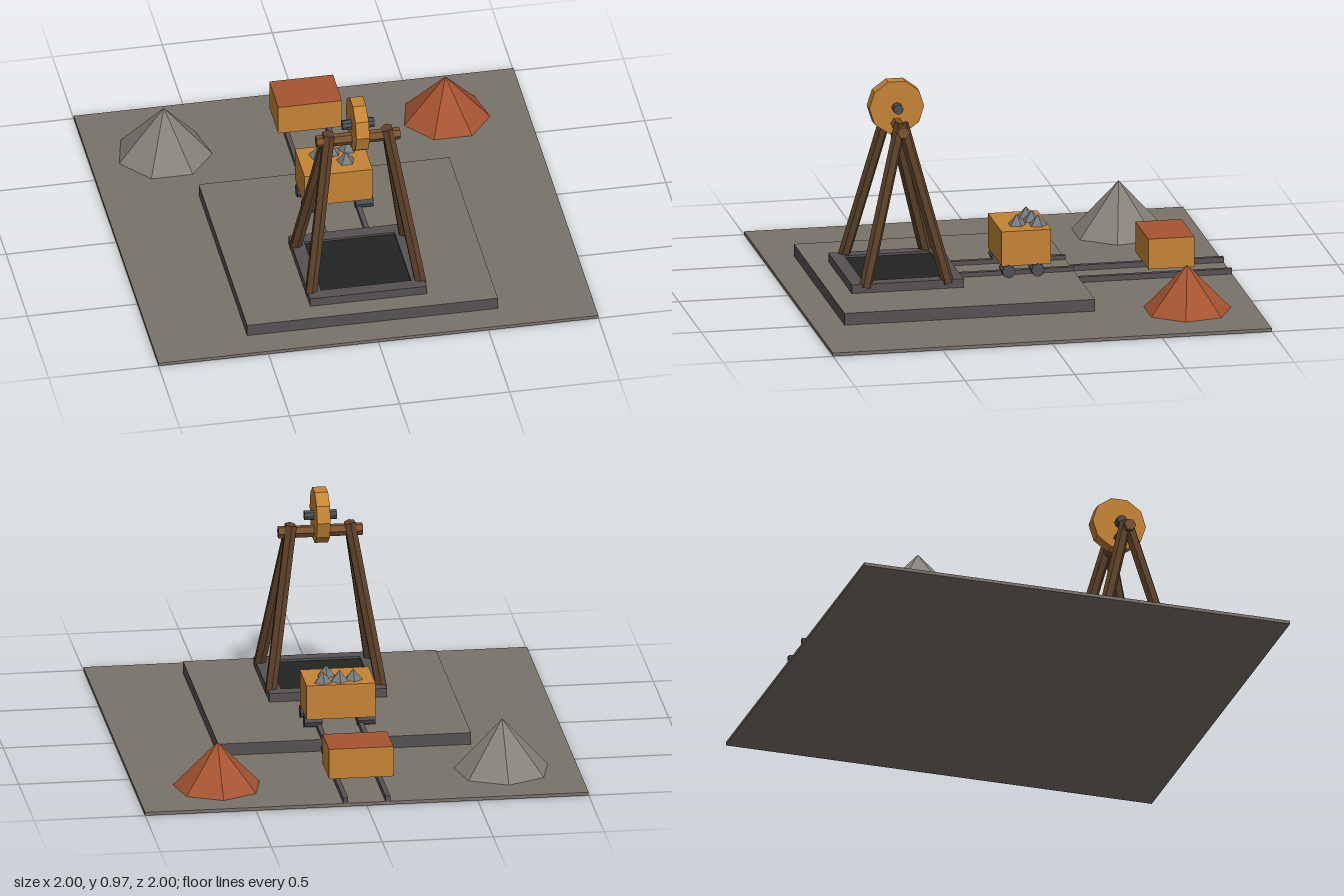
import * as THREE from 'three';

const paint = (name, color) => {
  const m = new THREE.MeshStandardMaterial({ color, flatShading: true });
  m.name = name;
  return m;
};

export function createModel() {
  const earth = paint('earth', 0x79736a);
  const stone = paint('darkStone', 0x565253);
  const pit = paint('pitBlack', 0x222323);
  const ochre = paint('ochre', 0xc68435);
  const rust = paint('rust', 0xa65431);
  const gravel = paint('gravel', 0x85827a);
  const rock = paint('rock', 0x777b7e);
  const timber = paint('timber', 0x5c4029);
  const beamWood = paint('beamWood', 0x7a5230);
  const iron = paint('iron', 0x4c5054);

  const model = new THREE.Group();
  model.name = 'mineYard';

  const add = (name, geometry, material, x, y, z, parent = model) => {
    const mesh = new THREE.Mesh(geometry, material);
    mesh.name = name;
    mesh.position.set(x, y, z);
    parent.add(mesh);
    return mesh;
  };
  // Box given by its extents on each axis
  const box = (name, material, [x0, x1], [y0, y1], [z0, z1], parent) =>
    add(name, new THREE.BoxGeometry(x1 - x0, y1 - y0, z1 - z0), material,
      (x0 + x1) / 2, (y0 + y1) / 2, (z0 + z1) / 2, parent);
  // Box faces in order +x, -x, +y, -y, +z, -z
  const topped = (side, top) => [side, side, top, side, side, side];
  // Cylinder lying along x
  const roller = (name, material, r, length, sides, x, y, z, parent) => {
    const g = new THREE.CylinderGeometry(r, r, length, sides).rotateZ(Math.PI / 2);
    return add(name, g, material, x, y, z, parent);
  };
  // Cone standing on height y, one corner towards the back
  const heap = (name, material, r, h, sides, x, y, z, parent) =>
    add(name, new THREE.ConeGeometry(r, h, sides).rotateY(Math.PI), material, x, y + h / 2, z, parent);
  // Straight round post between two points
  const post = (name, material, a, b, r, parent) => {
    const dir = b.clone().sub(a);
    const mesh = add(name, new THREE.CylinderGeometry(r, r, dir.length(), 6), material, 0, 0, 0, parent);
    mesh.position.copy(a).add(b).multiplyScalar(0.5);
    mesh.quaternion.setFromUnitVectors(new THREE.Vector3(0, 1, 0), dir.normalize());
    return mesh;
  };

  // Ground and raised platform
  box('ground', earth, [-1, 1], [0, 0.015], [-1, 1]);
  box('platform', topped(stone, earth), [-0.57, 0.57], [0.015, 0.07], [-0.28, 0.86]);

  // Rails: one run on the platform, one lower run on the ground
  for (const x of [-0.095, 0.095]) {
    box('platformRail', stone, [x - 0.011, x + 0.011], [0.07, 0.09], [-0.28, 0.26]);
    box('groundRail', stone, [x - 0.011, x + 0.011], [0.015, 0.04], [-1, -0.28]);
  }

  // Shaft collar with a dark opening
  const rect = (T, w, d) => new T([
    new THREE.Vector2(-w, -d), new THREE.Vector2(w, -d), new THREE.Vector2(w, d), new THREE.Vector2(-w, d)]);
  const collar = rect(THREE.Shape, 0.265, 0.255);
  collar.holes.push(rect(THREE.Path, 0.205, 0.195));
  const collarGeometry = new THREE.ExtrudeGeometry(collar, { depth: 0.04, bevelEnabled: false });
  add('shaftCollar', collarGeometry.rotateX(-Math.PI / 2), stone, 0, 0.07, 0.51);
  box('shaftOpening', pit, [-0.205, 0.205], [0.07, 0.1], [0.315, 0.705]);

  // Headframe: four splayed legs, crossbeam, winding wheel and axle
  const headframe = new THREE.Group();
  headframe.name = 'headframe';
  model.add(headframe);
  for (const sx of [-1, 1]) {
    for (const sz of [-1, 1]) {
      post('leg', timber, new THREE.Vector3(sx * 0.25, 0.09, 0.513 + sz * 0.188),
        new THREE.Vector3(sx * 0.133, 0.81, 0.513 + sz * 0.004), 0.028, headframe);
    }
  }
  roller('crossbeam', beamWood, 0.028, 0.38, 6, 0, 0.78, 0.513, headframe);
  // Turned so a flat side faces up
  roller('windingWheel', ochre, 0.125, 0.06, 10, 0, 0.855, 0.513, headframe);
  roller('axle', iron, 0.023, 0.145, 8, 0, 0.855, 0.513, headframe);

  // Loaded cart on the platform
  const cart = new THREE.Group();
  cart.name = 'loadedCart';
  model.add(cart);
  box('cartBody', ochre, [-0.155, 0.155], [0.125, 0.285], [-0.165, 0.06], cart);
  for (const x of [-0.12, 0.12]) {
    for (const z of [0.028, -0.13 + 0.025]) roller('cartWheel', iron, 0.03, 0.08, 8, x, 0.1, z, cart);
  }
  for (const [x, z] of [[-0.065, -0.095], [0, -0.108], [0.075, -0.12], [0.05, -0.03]]) {
    heap('oreLump', rock, 0.043, 0.05, 5, x, 0.284, z, cart);
  }

  // Cart with a level rust-coloured load
  box('oreCart', topped(ochre, rust), [-0.145, 0.145], [0.07, 0.21], [-0.82, -0.61]);

  // Spoil heaps
  heap('gravelHeap', gravel, 0.217, 0.24, 7, -0.66, 0.015, -0.638);
  heap('rustHeap', rust, 0.2, 0.21, 7, 0.63, 0.015, -0.688);

  return model;
}
